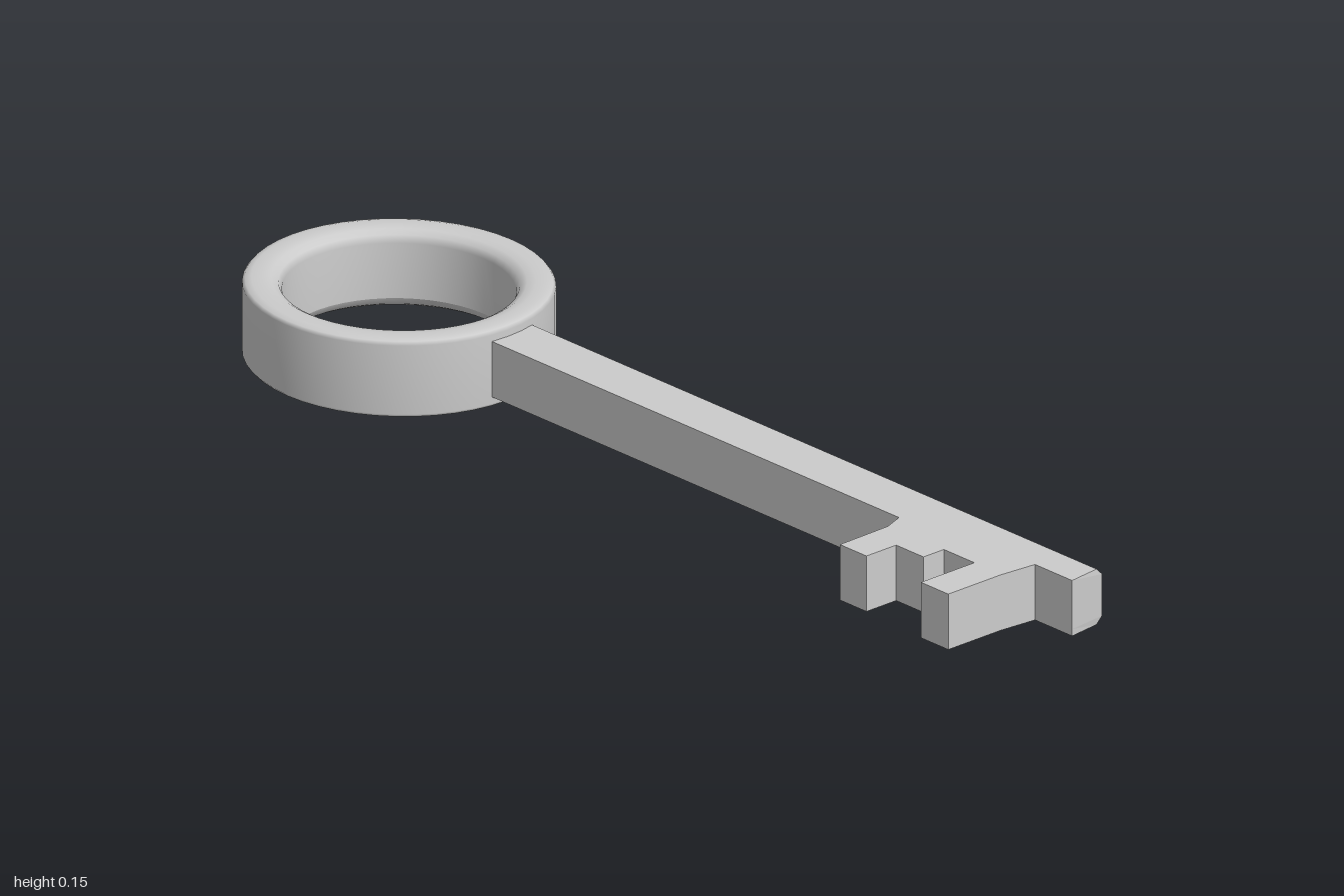
import * as THREE from 'three';

const material = new THREE.MeshStandardMaterial({ color: 0xcccccc });

// Ring handle: a rounded band, very slightly longer than wide
function createRing() {
  const h = 0.148;
  const lower = [[0.2, 0.022], [0.206, 0.009], [0.218, 0.002], [0.233, 0], [0.252, 0], [0.263, 0.003], [0.268, 0.009]];
  const upper = lower.map(([r, y]) => [r, h - y]).reverse();
  const profile = [...lower, ...upper, lower[0]].map(([r, y]) => new THREE.Vector2(r, y));
  const ring = new THREE.Mesh(new THREE.LatheGeometry(profile, 48), material);
  ring.name = 'ringHandle';
  ring.scale.z = 0.278 / 0.268;
  ring.position.z = -0.722;
  return ring;
}

// Shaft and toothed bit: one outline (x, z) extruded upwards
function createShaft() {
  const right = 0.078, chamfer = 0.013;
  const outline = [
    [right, -0.47], [-0.035, -0.47], [-0.035, 0.595], [-0.075, 0.61],
    [-0.19, 0.612], [-0.19, 0.68], [-0.12, 0.68], [-0.12, 0.75],
    [-0.072, 0.75], [-0.072, 0.828], [-0.198, 0.828], [-0.198, 0.898],
    [-0.075, 0.898], [0, 0.905], [0, 1], [right, 0.992],
  ];
  const shape = new THREE.Shape(outline.map(([x, z]) => new THREE.Vector2(x, -z)));
  const geometry = new THREE.ExtrudeGeometry(shape, { depth: 3, steps: 3, bevelEnabled: false });
  geometry.rotateX(-Math.PI / 2);

  // Set the layer heights and chamfer the two long edges on the plain side
  const levels = [0.022, 0.035, 0.114, 0.127];
  const p = geometry.attributes.position;
  for (let i = 0; i < p.count; i++) {
    const level = Math.round(p.getY(i));
    p.setY(i, levels[level]);
    if ((level === 0 || level === 3) && p.getX(i) > right - 0.001) p.setX(i, right - chamfer);
  }
  geometry.computeVertexNormals();
  const shaft = new THREE.Mesh(geometry, material);
  shaft.name = 'shaftAndBit';
  return shaft;
}

export function createModel() {
  const key = new THREE.Group();
  key.name = 'key';
  key.add(createRing(), createShaft());
  return key;
}
